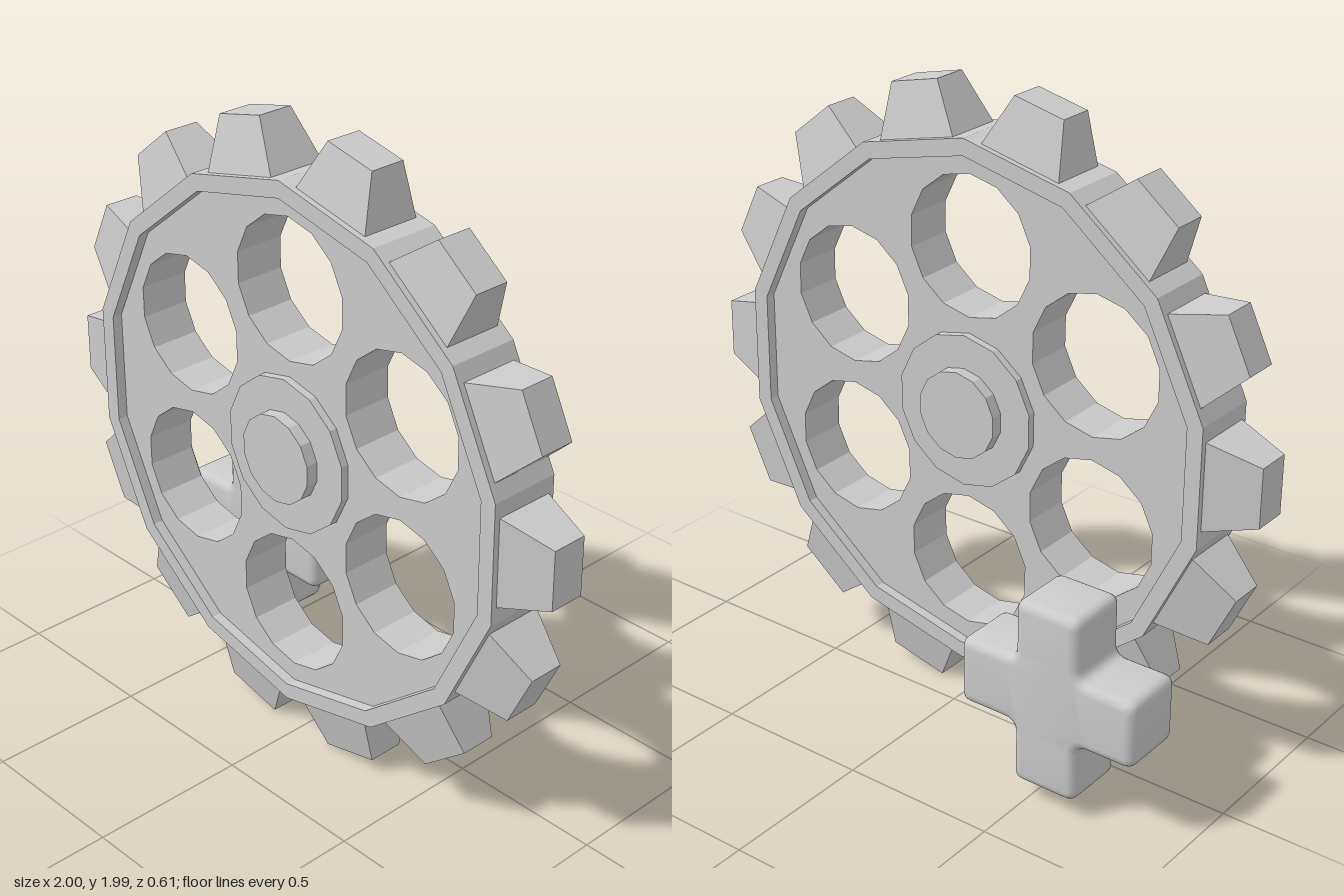
import * as THREE from 'three';
import { toCreasedNormals } from 'three/addons/utils/BufferGeometryUtils.js';

const SIDES = 14, MID = 0.155; // wheel facets, z of the wheel's middle plane
const flat = new THREE.MeshStandardMaterial({ color: 0xcccccc, flatShading: true });
const smooth = new THREE.MeshStandardMaterial({ color: 0xcccccc });

// regular polygon with a corner pointing up
function polygon(radius, cx = 0, cy = 0) {
  return Array.from({ length: SIDES }, (_, i) => {
    const a = Math.PI / 2 + (i * 2 * Math.PI) / SIDES;
    return new THREE.Vector2(cx + radius * Math.cos(a), cy + radius * Math.sin(a));
  });
}

// flat slab of given thickness, centred on z = 0
function slab(name, outline, holes, thickness) {
  const shape = new THREE.Shape(outline);
  shape.holes = holes.map((h) => new THREE.Path(h));
  const geo = new THREE.ExtrudeGeometry(shape, { depth: thickness, bevelEnabled: false });
  geo.translate(0, 0, -thickness / 2);
  const mesh = new THREE.Mesh(geo, flat);
  mesh.name = name;
  return mesh;
}

// tapered block pointing along +x
function toothGeometry(tipHalf) {
  const geo = new THREE.BoxGeometry(1, 1, 1).toNonIndexed();
  const p = geo.attributes.position;
  for (let i = 0; i < p.count; i++) {
    const tip = p.getX(i) > 0;
    p.setXYZ(i, tip ? 1.0 : 0.8,
      Math.sign(p.getY(i)) * (tip ? tipHalf : 0.15),
      Math.sign(p.getZ(i)) * (tip ? 0.058 : 0.105));
  }
  geo.computeVertexNormals();
  return geo;
}

// plus sign with rounded corners, fillets and edges
function crossGeometry() {
  const a = 0.11, L = 0.305, r = 0.035, bevel = 0.03, depth = 0.22;
  const base = [[L, -a], [L, a], [a, a]]; // one arm: two outer corners and an inner one
  const corners = [];
  for (let k = 0; k < 4; k++) {
    for (const [x, y] of base) {
      corners.push(new THREE.Vector2(x, y).rotateAround(new THREE.Vector2(), (k * Math.PI) / 2));
    }
  }
  const shape = new THREE.Shape();
  corners.forEach((c, i) => {
    const prev = corners[(i + 11) % 12], next = corners[(i + 1) % 12];
    const from = c.clone().add(prev.clone().sub(c).setLength(r));
    const to = c.clone().add(next.clone().sub(c).setLength(r));
    if (i === 0) shape.moveTo(from.x, from.y);
    else shape.lineTo(from.x, from.y);
    shape.quadraticCurveTo(c.x, c.y, to.x, to.y);
  });
  shape.closePath();
  const geo = new THREE.ExtrudeGeometry(shape, {
    depth: depth - 2 * bevel, bevelThickness: bevel, bevelSize: bevel,
    bevelOffset: -bevel, bevelSegments: 4, curveSegments: 5,
  });
  geo.translate(0, 0, bevel - depth / 2);
  return toCreasedNormals(geo, 0.7);
}

export function createModel() {
  const model = new THREE.Group();
  model.name = 'cogWheelAndCross';

  const wheel = new THREE.Group();
  wheel.name = 'cogWheel';
  wheel.position.set(0, 1, MID);
  model.add(wheel);

  // raised rim, recessed plate with six round windows, stepped hub
  const windows = [];
  for (let i = 0; i < 6; i++) {
    const a = Math.PI / 6 + (i * Math.PI) / 3;
    windows.push(polygon(0.223, 0.52 * Math.cos(a), 0.52 * Math.sin(a)));
  }
  wheel.add(
    slab('rim', polygon(0.858), [polygon(0.805)], 0.232),
    slab('plate', polygon(0.83), windows, 0.165),
    slab('hubCollar', polygon(0.247), [], 0.215),
    slab('axle', polygon(0.141), [], 0.292),
  );

  // one tooth on every rim facet, slightly narrower towards the top
  const teeth = new THREE.Group();
  teeth.name = 'teeth';
  for (let i = 0; i < SIDES; i++) {
    const a = (i * 2 * Math.PI) / SIDES;
    const tooth = new THREE.Mesh(toothGeometry(0.094 - 0.007 * Math.sin(a)), flat);
    tooth.name = 'tooth';
    tooth.rotation.z = a;
    teeth.add(tooth);
  }
  wheel.add(teeth);

  // rounded cross behind the wheel
  const cross = new THREE.Mesh(crossGeometry(), smooth);
  cross.name = 'cross';
  cross.position.set(-0.563, 0.365, -0.195);
  model.add(cross);

  return model;
}
